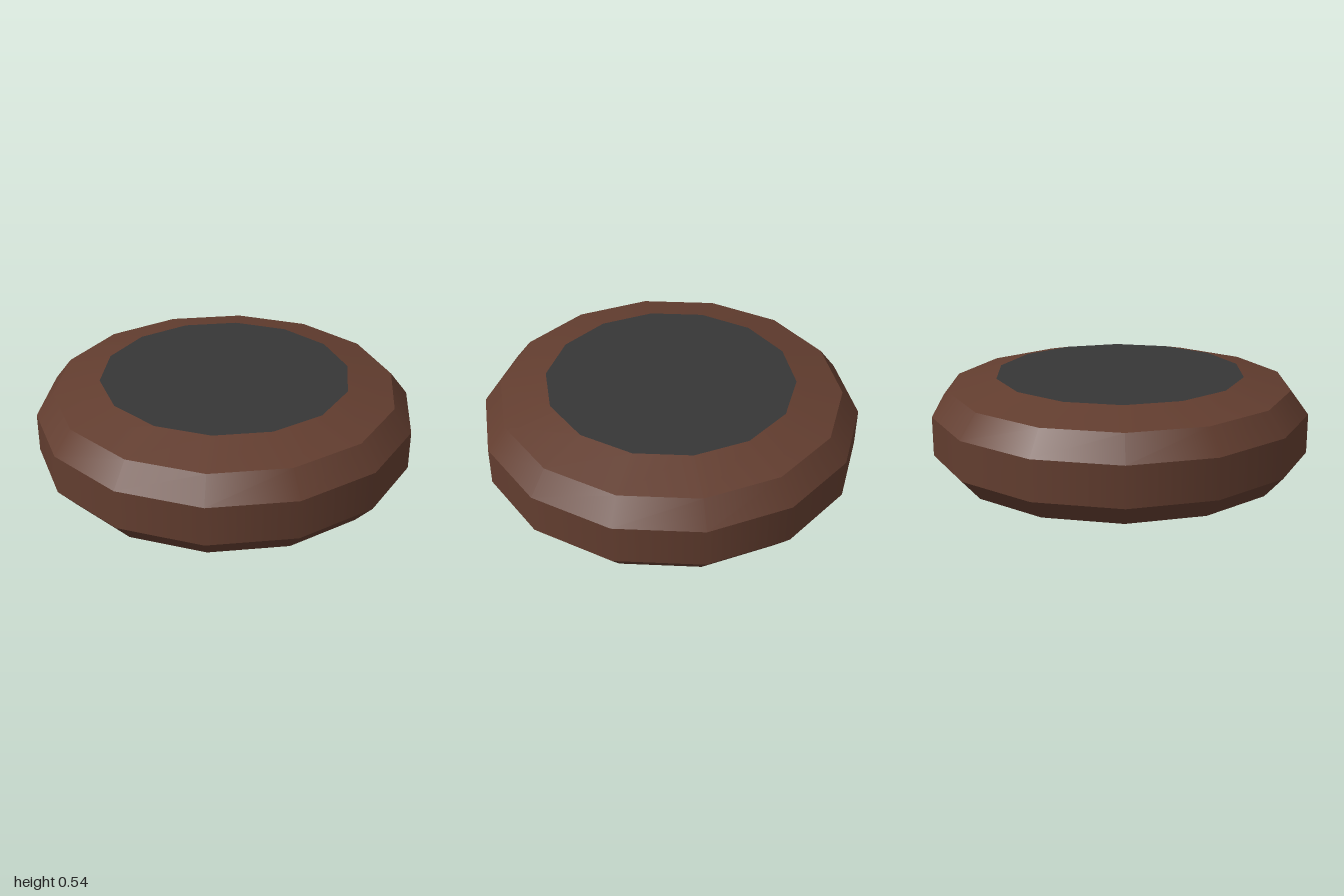
import * as THREE from 'three';

const SIDES = 14;

export function createModel() {
  const group = new THREE.Group();
  group.name = 'puck';

  const brown = new THREE.MeshStandardMaterial({ color: 0x623d2f });
  const dark = new THREE.MeshStandardMaterial({ color: 0x363636 });

  // Outer profile as [radius, height], bottom to top
  const profile = [
    [0.66, 0], [0.9, 0.033], [1, 0.146], [1, 0.354], [0.905, 0.477], [0.66, 0.537],
  ];
  const bands = ['bottomSlope', 'lowerBevel', 'sideWall', 'upperBevel', 'topSlope'];

  // Each band is smooth around and has hard edges to its neighbours
  bands.forEach((name, i) => {
    const [r0, y0] = profile[i];
    const [r1, y1] = profile[i + 1];
    const geometry = new THREE.CylinderGeometry(r1, r0, y1 - y0, SIDES, 1, true, Math.PI / 2);
    const mesh = new THREE.Mesh(geometry, brown);
    mesh.name = name;
    mesh.position.y = (y0 + y1) / 2;
    group.add(mesh);
  });

  // Flat dark faces closing the top and the bottom
  const addCap = (name, [radius, y], tilt) => {
    const cap = new THREE.Mesh(new THREE.CircleGeometry(radius, SIDES), dark);
    cap.name = name;
    cap.rotation.x = tilt;
    cap.position.y = y;
    group.add(cap);
  };
  addCap('topFace', profile[profile.length - 1], -Math.PI / 2);
  addCap('bottomFace', profile[0], Math.PI / 2);

  return group;
}
